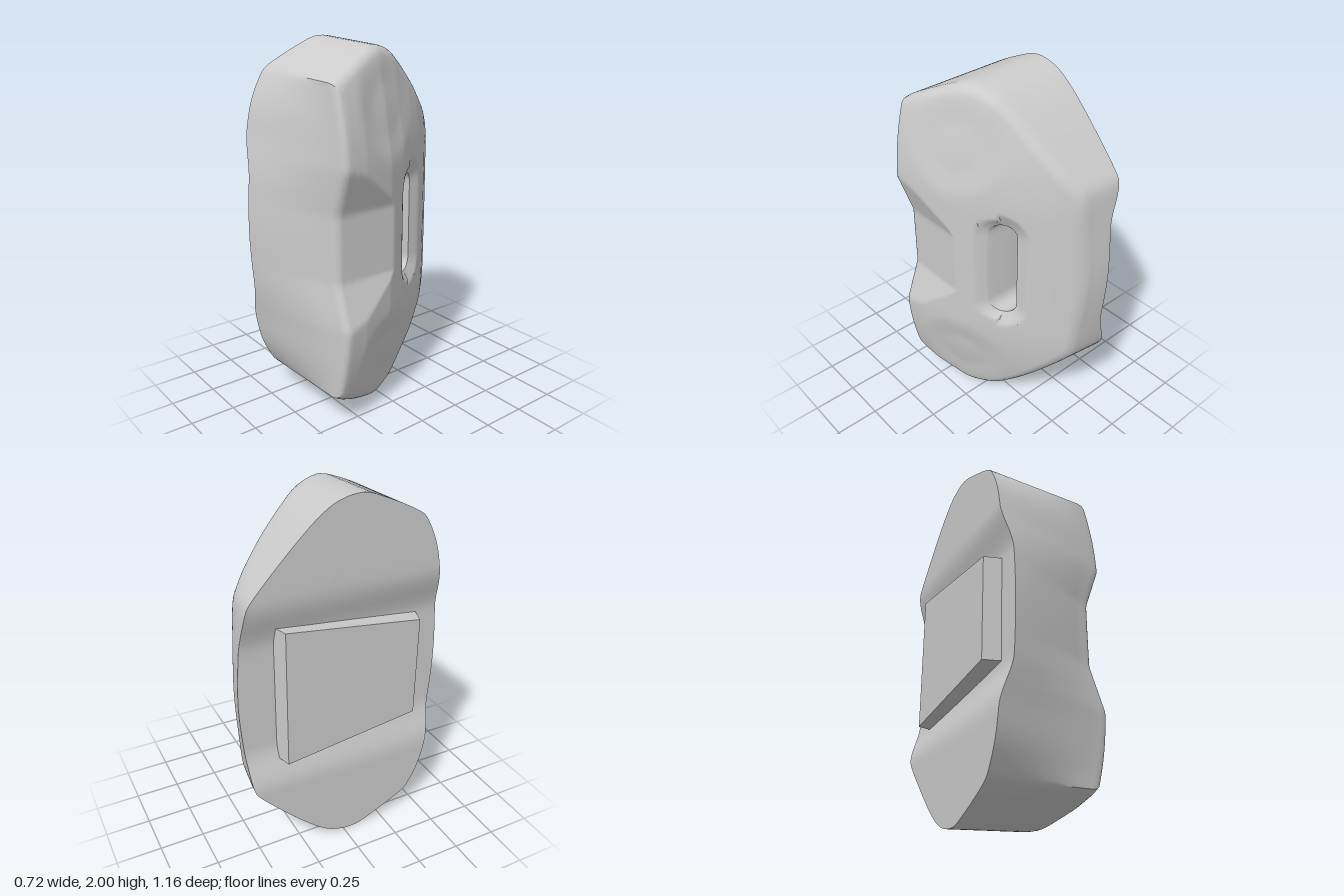
import * as THREE from 'three';
import { toCreasedNormals } from 'three/addons/utils/BufferGeometryUtils.js';

const { smoothstep, lerp } = THREE.MathUtils;
const N = 200;                                    // points around the outline
const SLOT = { z: -0.185, y: 1, h: 0.22, r: 0.065 };
const ROUND = 0.05;                               // rounding of the face edge

// Upper half of the side outline as [z, y - 1], front to rear
const HALF = [[0.58, 0], [0.567, 0.27], [0.537, 0.5], [0.495, 0.69], [0.425, 0.83], [0.4, 0.855],
  [0.19, 0.96], [0.07, 1], [-0.06, 0.98], [-0.18, 0.905], [-0.51, 0.57], [-0.535, 0.53], [-0.56, 0.32], [-0.58, 0]];

// Face height x along z on the centre line
const PROFILE = [[-0.6, -0.15], [-0.55, -0.115], [-0.5, -0.07], [-0.43, -0.005], [-0.31, 0.08], [-0.18, 0.157],
  [-0.085, 0.22], [0.06, 0.292], [0.26, 0.348], [0.36, 0.362], [0.45, 0.362]];

function profile(z) {
  let i = 0;
  while (i < PROFILE.length - 2 && z > PROFILE[i + 1][0]) i++;
  const [a, b] = [PROFILE[i], PROFILE[i + 1]];
  return lerp(a[1], b[1], (z - a[0]) / (b[0] - a[0]));
}

// Face surface: domed, with front notch, two shallow dimples and a countersunk slot
function faceX(z, y) {
  const d = Math.abs(y - 1);
  let x = profile(z) - 0.33 * Math.max(0, d - 0.35) ** 2;
  x = Math.min(x, 0.275 + 0.01 * z + 0.35 * Math.max(0, d - 0.18));
  const r = Math.hypot(z - 0.04, d - 0.67);
  x -= 0.018 * (1 - smoothstep(r, 0.1, 0.27));
  const e = Math.hypot(z - SLOT.z, Math.max(0, d - SLOT.h)) - SLOT.r;
  const width = z > SLOT.z ? 0.045 : 0.08;
  return x - 0.04 * Math.max(0, 1 - e / width);
}

// Back surface: flat with a wide hollow across the middle
const backX = (y) => -0.33 + 0.06 * (1 - smoothstep(Math.abs(y - 1), 0.28, 0.55));

// Point where a ray from the slot centre meets the slot edge
function slotEdge(z, y) {
  const dz = z - SLOT.z, dy = y - SLOT.y, len = Math.hypot(dz, dy);
  const c = Math.abs(dz) / len, s = Math.abs(dy) / len;
  const t = SLOT.r * s <= SLOT.h * c
    ? SLOT.r / c
    : SLOT.h * s + Math.sqrt(Math.max(0, SLOT.r ** 2 - (SLOT.h * c) ** 2));
  return [SLOT.z + dz / len * t, SLOT.y + dy / len * t];
}

function bodyGeometry() {
  const lower = HALF.slice(1, -1).reverse().map(([z, y]) => [z, -y]);
  const curve = new THREE.CatmullRomCurve3(
    [...HALF, ...lower].map(([z, y]) => new THREE.Vector3(0, 1 + y, z)), true, 'centripetal');
  const base = curve.getSpacedPoints(N).slice(0, N).map((p) => [p.z, p.y]);
  // Tapered outline where the wall meets the face
  const top = base.map(([z, y]) => [
    z > 0 ? Math.min(z, 0.41) : z * 0.965, 1 + (y - 1) * 0.975]);
  const slot = top.map(([z, y]) => slotEdge(z, y));

  const rings = [];
  const addRing = (point) => rings.push(base.map((_, i) => point(i)));
  // Back, from its centre out to the rim
  for (let k = 0; k <= 20; k++) addRing((i) => {
    const t = Math.max(k / 20, 0.001);
    const z = lerp(0, base[i][0], t), y = lerp(1, base[i][1], t);
    return [backX(y), y, z];
  });
  // Outer wall
  for (let k = 1; k <= 8; k++) addRing((i) => {
    const s = k / 8, b = base[i], t = top[i];
    return [lerp(backX(b[1]), faceX(t[0], t[1]) - ROUND, s),
      lerp(b[1], t[1], s), lerp(b[0], t[0], s ** 1.2)];
  });
  // Face, from the rounded edge in to the slot
  const F = 52;
  for (let k = 1; k <= F; k++) addRing((i) => {
    const s = (k / F) ** 1.25, t = top[i], q = slot[i];
    const z = lerp(t[0], q[0], s), y = lerp(t[1], q[1], s);
    const e = Math.min(1, s * Math.hypot(t[0] - q[0], t[1] - q[1]) / ROUND);
    return [faceX(z, y) - ROUND * (1 - Math.sqrt(1 - (1 - e) ** 2)), y, z];
  });
  // Slot wall and floor
  addRing((i) => [-0.25, slot[i][1], slot[i][0]]);
  addRing((i) => [-0.25, lerp(SLOT.y, slot[i][1], 0.01), lerp(SLOT.z, slot[i][0], 0.01)]);

  const index = [];
  for (let k = 0; k < rings.length - 1; k++) {
    for (let i = 0; i < N; i++) {
      const j = (i + 1) % N, a = k * N, b = a + N;
      index.push(a + i, b + i, a + j, a + j, b + i, b + j);
    }
  }
  const geo = new THREE.BufferGeometry();
  geo.setAttribute('position', new THREE.Float32BufferAttribute(rings.flat(2), 3));
  geo.setIndex(index);
  return toCreasedNormals(geo, 0.6);
}

// Trapezoid plate with slightly flared ends
function plateGeometry() {
  const shape = new THREE.Shape([[-0.355, 0.62], [0.41, 0.72], [0.41, 1.29], [-0.355, 1.39]]
    .map(([z, y]) => new THREE.Vector2(z, y)));
  const geo = new THREE.ExtrudeGeometry(shape, { depth: 0.1, bevelEnabled: false });
  geo.rotateY(-Math.PI / 2).translate(-0.26, 0, 0);
  const p = geo.attributes.position;
  for (let i = 0; i < p.count; i++) if (p.getX(i) > -0.3) p.setZ(i, p.getZ(i) * 1.08);
  geo.computeVertexNormals();
  return geo;
}

export function createModel() {
  const group = new THREE.Group();
  const material = new THREE.MeshStandardMaterial({ color: 0xcccccc });
  const add = (name, geometry) => {
    const mesh = new THREE.Mesh(geometry, material);
    mesh.name = name;
    group.add(mesh);
  };
  add('body', bodyGeometry());
  add('backPlate', plateGeometry());
  return group;
}
